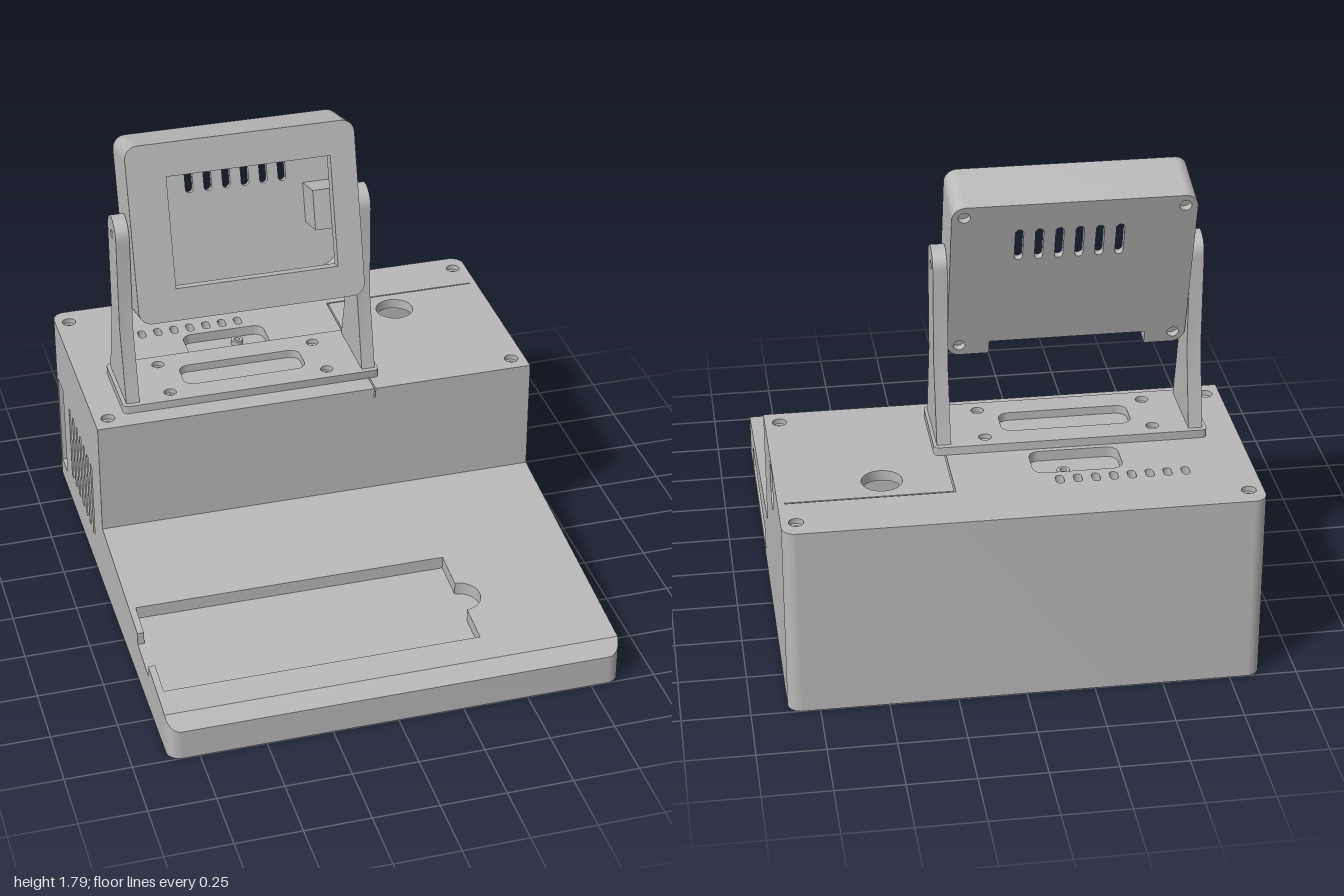
import * as THREE from 'three';
import { toCreasedNormals } from 'three/addons/utils/BufferGeometryUtils.js';

const W = 0.865, WALL = 0.025, IN = W - WALL;   // half width, wall thickness, inner half width
const TILT = THREE.MathUtils.degToRad(15);
const grey = new THREE.MeshStandardMaterial({ color: 0xb8b8b8 });
grey.name = 'casing grey';

// ---- shape helpers ----
const poly = (pts) => new THREE.Shape(pts.map(([x, y]) => new THREE.Vector2(x, y)));
const rect = (x0, y0, x1, y1) => poly([[x0, y0], [x1, y0], [x1, y1], [x0, y1]]);
const circle = (x, y, r) => new THREE.Shape().absarc(x, y, r, 0, Math.PI * 2, false);
function roundRect(x0, y0, x1, y1, r) {
  const s = new THREE.Shape();
  s.absarc(x1 - r, y0 + r, r, -Math.PI / 2, 0, false);
  s.absarc(x1 - r, y1 - r, r, 0, Math.PI / 2, false);
  s.absarc(x0 + r, y1 - r, r, Math.PI / 2, Math.PI, false);
  s.absarc(x0 + r, y0 + r, r, Math.PI, Math.PI * 1.5, false);
  s.closePath();
  return s;
}
function cut(shape, ...holes) {
  shape.holes.push(...holes);
  return shape;
}
const extrude = (shape, depth) =>
  new THREE.ExtrudeGeometry(shape, { depth, bevelEnabled: false, curveSegments: 10 });
// shape drawn in (x, z), thickness runs down from y = 0
const slab = (shape, depth) => extrude(shape, depth).rotateX(Math.PI / 2);
// shape drawn in (z, y), thickness runs towards -x from x = 0
const sideways = (shape, depth) => extrude(shape, depth).rotateY(-Math.PI / 2);

function add(parent, name, geo, x = 0, y = 0, z = 0) {
  const m = new THREE.Mesh(toCreasedNormals(geo, 0.5), grey);
  m.name = name;
  m.position.set(x, y, z);
  parent.add(m);
  return m;
}
function addBox(parent, name, x0, x1, y0, y1, z0, z1) {
  return add(parent, name, new THREE.BoxGeometry(x1 - x0, y1 - y0, z1 - z0),
    (x0 + x1) / 2, (y0 + y1) / 2, (z0 + z1) / 2);
}
function moveY(geo, rule) {
  const p = geo.attributes.position;
  for (let i = 0; i < p.count; i++) p.setY(i, rule(p.getY(i), p.getZ(i)));
  return geo;
}

const TOP = 0.735;
const deckY = (z) => 0.28 - (z + 0.1) * 0.11 / 1.05;   // sloping front deck
const TRAY = { x1: 0.365, z0: 0.37, z1: 0.83, gap0: 0.51, gap1: 0.69, depth: 0.05 };

function buildCase() {
  const g = new THREE.Group();
  g.name = 'case';

  // side walls
  const rightEdge = [[-0.95, 0], [0.95, 0], [0.95, deckY(0.95)], [-0.1, 0.28], [-0.1, TOP], [-0.95, TOP]];
  const { gap0, gap1, depth } = TRAY;
  const leftEdge = [...rightEdge];
  leftEdge.splice(3, 0, [gap1, deckY(gap1)], [gap1, deckY(gap1) - depth],
    [gap0, deckY(gap0) - depth], [gap0, deckY(gap0)]);
  const cableHole = new THREE.Shape().absarc(-0.47, 0.6, 0.06, Math.PI, Math.PI * 2, false);
  cableHole.lineTo(-0.41, 0.71).lineTo(-0.53, 0.71).closePath();
  add(g, 'left wall', sideways(cut(poly(rightEdge), rect(0.1, 0.028, 0.79, 0.12), cableHole), WALL), W);
  const right = cut(poly(leftEdge), rect(-0.93, 0.08, -0.83, 0.47));
  for (let i = 0; i < 7; i++) {
    const z = -0.7 + i * 0.07;
    right.holes.push(rect(z - 0.014, 0.14, z + 0.014, 0.46));
  }
  add(g, 'right wall', sideways(right, WALL), -IN);

  // rounded front and back ends
  const end = new THREE.Shape().moveTo(-W, 0);
  end.absarc(-W + 0.05, -0.0, 0.05, Math.PI, Math.PI / 2, true);
  end.absarc(W - 0.05, 0, 0.05, Math.PI / 2, 0, true);
  end.closePath();
  const front = moveY(slab(end, 1), (y, z) => (y > -0.5 ? deckY(0.95) - z : 0));
  add(g, 'front end', front, 0, 0, 0.95);
  const back = slab(end, TOP).rotateY(Math.PI);
  add(g, 'back end', back, 0, TOP, -0.95);

  // sloping deck with the tray recess open at one side
  const thumb = new THREE.Shape().moveTo(-IN, -0.1).lineTo(IN, -0.1).lineTo(IN, 0.95).lineTo(-IN, 0.95);
  thumb.lineTo(-IN, TRAY.z1).lineTo(TRAY.x1, TRAY.z1).lineTo(TRAY.x1, 0.675);
  thumb.absarc(TRAY.x1, 0.6, 0.075, Math.PI / 2, -Math.PI / 2, true);
  thumb.lineTo(TRAY.x1, TRAY.z0).lineTo(-IN, TRAY.z0).closePath();
  const onDeck = (y, z) => y + deckY(z);
  add(g, 'sloping deck', moveY(slab(thumb, depth), onDeck));
  add(g, 'tray floor', moveY(slab(rect(-IN, 0.3, 0.5, 0.9), 0.015), onDeck), 0, -depth);

  // step between deck and tall rear section
  addBox(g, 'step wall', -IN, IN, 0.2, TOP - 0.04, -0.14, -0.1);

  // top panel, with a separate lid in the front corner
  const main = poly([[-IN, -0.95], [IN, -0.95], [IN, -0.783], [0.227, -0.783], [0.227, -0.1], [-IN, -0.1]]);
  for (let i = 0; i < 8; i++) {
    const x = -0.615 + i * 0.0657;
    main.holes.push(roundRect(x - 0.015, -0.773, x + 0.015, -0.717, 0.0149));
  }
  cut(main, roundRect(-0.4, -0.69, -0.07, -0.53, 0.04));
  const lid = cut(rect(0.233, -0.777, IN, -0.1), circle(0.48, -0.665, 0.075));
  for (const [x, z] of [[-0.81, -0.945], [0.81, -0.945], [-0.81, -0.17], [0.81, -0.17]]) {
    const zz = Math.max(z, -0.918);
    cut(x > 0 && z > -0.5 ? lid : main, circle(x, zz, 0.027));
    add(g, 'screw seat', slab(cut(circle(x, zz, 0.029), circle(x, zz, 0.013)), 0.05), 0, TOP - 0.02);
  }
  add(g, 'top panel', slab(main, 0.04), 0, TOP);
  add(g, 'top lid', slab(lid, 0.04), 0, TOP);
  add(g, 'recess floor', slab(cut(rect(-0.42, -0.71, -0.05, -0.51), circle(-0.185, -0.64, 0.012)), 0.02), 0, TOP - 0.04);
  add(g, 'recess screw ring', slab(cut(circle(-0.185, -0.64, 0.024), circle(-0.185, -0.64, 0.012)), 0.02), 0, TOP - 0.02);

  // connectors behind the port opening
  addBox(g, 'port panel', -0.8, -0.78, 0.05, 0.5, -0.95, -0.81);
  for (const y of [0.2, 0.33]) addBox(g, 'port divider', -IN, -0.8, y, y + 0.02, -0.93, -0.83);

  // bottom plate with screw wells, cable slot and cover seams
  const bottom = cut(rect(-IN, -0.95, IN, 0.95), rect(-0.1, -0.1, 0.63, -0.045),
    rect(0.38, 0.05, 0.386, 0.92), rect(0.39, 0.044, 0.83, 0.05), rect(0.39, 0.92, 0.83, 0.926),
    circle(0.3, 0.08, 0.018));
  const wells = [[0.78, -0.9], [-0.78, -0.9], [0.78, -0.23], [-0.76, -0.23], [-0.76, 0], [-0.78, 0.89]];
  for (const [x, z] of wells) {
    cut(bottom, circle(x, z, 0.042));
    add(g, 'screw well', slab(circle(x, z, 0.046), 0.02), 0, 0.045);
  }
  add(g, 'bottom plate', slab(bottom, 0.028), 0, 0.028);
  return g;
}

function buildStand() {
  const g = new THREE.Group();
  g.name = 'stand';
  const plate = cut(roundRect(-0.745, -0.51, 0.27, -0.18, 0.02), roundRect(-0.48, -0.415, 0.005, -0.275, 0.04));
  for (const x of [-0.55, 0.075]) for (const z of [-0.24, -0.45]) {
    cut(plate, circle(x, z, 0.024));
    add(g, 'plate screw ring', slab(cut(circle(x, z, 0.026), circle(x, z, 0.012)), 0.012), 0, TOP + 0.013);
  }
  add(g, 'stand plate', slab(plate, 0.032), 0, TOP + 0.032);

  // tapered arms with rounded tops and pivot holes
  const arm = new THREE.Shape().moveTo(-0.49, 0.765).lineTo(-0.2, 0.765).lineTo(-0.273, 1.06);
  arm.absarc(-0.345, 1.43, 0.072, 0, Math.PI, false);
  arm.lineTo(-0.417, 1.06).closePath();
  cut(arm, circle(-0.345, 1.43, 0.017));
  for (const x of [-0.678, 0.258]) add(g, 'stand arm', sideways(arm, 0.052), x);
  return g;
}

// tilted screen housing: local y runs up its face, local z = 0 is the front
function buildHousing() {
  const g = new THREE.Group();
  g.name = 'screen housing';
  const H = 0.683, HW = 0.44, D = 0.223;
  const bezel = cut(roundRect(-HW, 0, HW, H, 0.05), rect(-0.29, 0.124, 0.34, 0.554));
  add(g, 'bezel', extrude(bezel, 0.05), 0, 0, -0.05);

  const notched = () => {
    const s = new THREE.Shape().moveTo(-0.29, 0).lineTo(-0.29, 0.055).lineTo(0.285, 0.055).lineTo(0.285, 0);
    s.absarc(HW - 0.05, 0.05, 0.05, -Math.PI / 2, 0, false);
    s.absarc(HW - 0.05, H - 0.05, 0.05, 0, Math.PI / 2, false);
    s.absarc(-HW + 0.05, H - 0.05, 0.05, Math.PI / 2, Math.PI, false);
    s.absarc(-HW + 0.05, 0.05, 0.05, Math.PI, Math.PI * 1.5, false);
    s.closePath();
    return s;
  };
  add(g, 'housing rim', extrude(cut(notched(), roundRect(-0.4, 0.08, 0.4, 0.65, 0.09)), D - 0.075), 0, 0, 0.025 - D);

  const back = notched();
  for (let i = 0; i < 6; i++) {
    const x = -0.167 + i * 0.0725;
    back.holes.push(roundRect(x - 0.015, 0.435, x + 0.015, 0.57, 0.0149));
  }
  for (const x of [-0.395, 0.395]) for (const y of [0.045, 0.638]) cut(back, circle(x, y, 0.022));
  add(g, 'back panel', extrude(back, 0.025), 0, 0, -D);

  // inner screen brackets
  addBox(g, 'top bracket', 0.025, 0.235, 0.554, 0.66, -0.18, -0.05);
  addBox(g, 'side bracket', 0.275, 0.41, 0.262, 0.417, -0.2, -0.05);

  g.position.set(-0.235, 1.13, -0.155);
  g.rotation.x = -TILT;
  return g;
}

export function createModel() {
  const model = new THREE.Group();
  model.name = 'desk terminal';
  model.add(buildCase(), buildStand(), buildHousing());
  return model;
}
